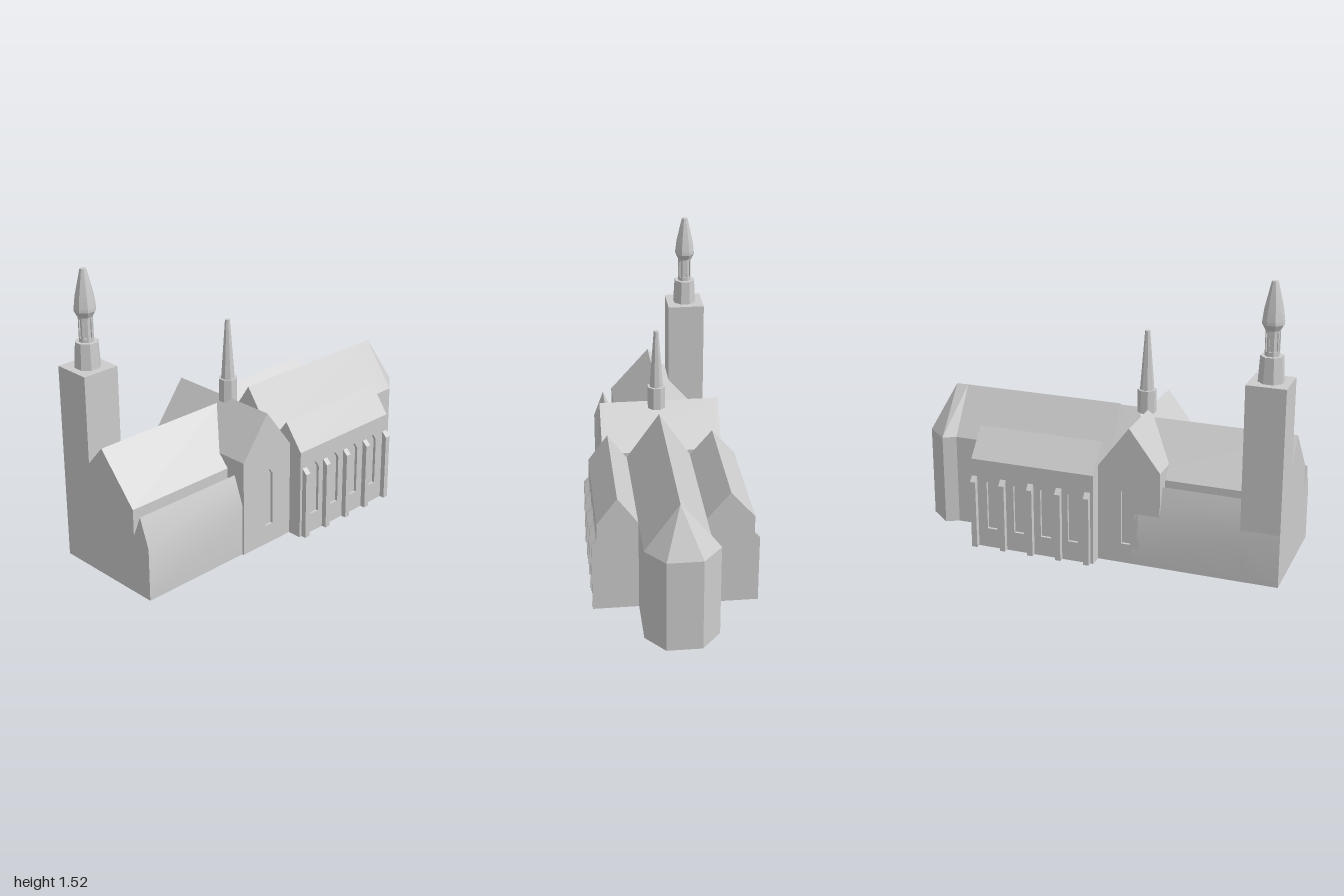
import * as THREE from 'three';
import { toCreasedNormals } from 'three/addons/utils/BufferGeometryUtils.js';
import { ConvexGeometry } from 'three/addons/geometries/ConvexGeometry.js';

const stone = new THREE.MeshStandardMaterial({ color: 0xcccccc });
stone.name = 'paleStone';

function addMesh(parent, name, geometry) {
  const mesh = new THREE.Mesh(geometry, stone);
  mesh.name = name;
  parent.add(mesh);
  return mesh;
}

const toPath = (Type, pts) => new Type(pts.map(([x, y]) => new THREE.Vector2(x, y)));

// Outline of a lancet opening, pointed at the top
const lancet = (cx, w, y0, y1, tip = w * 0.6) => [
  [cx - w / 2, y0], [cx + w / 2, y0], [cx + w / 2, y1 - tip],
  [cx + w * 0.12, y1 - tip * 0.15], [cx, y1], [cx - w * 0.12, y1 - tip * 0.15], [cx - w / 2, y1 - tip],
];

// Prism along z from an (x, y) outline, with optional openings
function prismZ(pts, z0, z1, holes = []) {
  const shape = toPath(THREE.Shape, pts);
  shape.holes = holes.map((h) => toPath(THREE.Path, h));
  return new THREE.ExtrudeGeometry(shape, { depth: z1 - z0, bevelEnabled: false }).translate(0, 0, z0);
}

// Prism along x from a (z, y) outline
function prismX(pts, x0, x1, holes = []) {
  const flip = (list) => list.map(([z, y]) => [-z, y]);
  return prismZ(flip(pts), x0, x1, holes.map(flip)).rotateY(Math.PI / 2);
}

const rect = (a0, b0, a1, b1) => [[a0, b0], [a1, b0], [a1, b1], [a0, b1]];

// Faceted eight-sided turning; radii are measured to the flat sides
function octagon(profile) {
  const pts = profile.map(([r, y]) => new THREE.Vector2(r / Math.cos(Math.PI / 8), y));
  return toCreasedNormals(new THREE.LatheGeometry(pts, 8, Math.PI / 8), 0.1);
}

function buildNave(church) {
  // Central gable with a small ridged aisle on either side
  const section = [
    [-0.32, 0], [0.305, 0], [0.305, 0.28], [0.25, 0.43], [0.2, 0.31], [0.2, 0.45],
    [-0.018, 0.695], [-0.237, 0.45], [-0.237, 0.31], [-0.28, 0.43], [-0.32, 0.28],
  ];
  addMesh(church, 'nave', toCreasedNormals(prismX(section, -1, -0.24), 0.45));
}

function buildTransept(church) {
  const gable = [[-0.385, 0], [-0.055, 0], [-0.055, 0.515], [-0.22, 0.735], [-0.385, 0.515]];
  const opening = [lancet(-0.205, 0.05, 0.105, 0.42)];
  addMesh(church, 'transept', prismZ(gable, -0.305, 0.3));
  addMesh(church, 'transeptFrontGable', prismZ(gable, 0.3, 0.315, opening));
  addMesh(church, 'transeptBackGable', prismZ(gable, -0.32, -0.305, opening));
}

function buildChoir(church) {
  const section = [[-0.15, 0], [0.185, 0], [0.185, 0.49], [0.013, 0.735], [-0.15, 0.49]];
  addMesh(church, 'choir', prismX(section, -0.055, 0.83));
  // Polygonal apse with a faceted roof
  const plan = [[0.82, -0.15], [0.885, -0.185], [1, -0.087], [1, 0.09], [0.885, 0.185], [0.82, 0.185]];
  const points = plan.flatMap(([x, z]) => [new THREE.Vector3(x, 0, z), new THREE.Vector3(x, 0.49, z)]);
  points.push(new THREE.Vector3(0.82, 0.735, 0.013), new THREE.Vector3(0.885, 0.735, 0.013));
  addMesh(church, 'apse', new ConvexGeometry(points));
}

function buildChapel(church, name, side, inner, ridge) {
  const chapel = new THREE.Group();
  chapel.name = name;
  church.add(chapel);
  const x0 = -0.055, x1 = 0.615, outer = 0.39, skin = 0.015;
  const section = [
    [inner, 0], [outer - skin, 0], [outer - skin, 0.485], [outer, 0.485], [ridge, 0.625], [inner, 0.485],
  ].map(([z, y]) => [side * z, y]);
  addMesh(chapel, 'chapelBody', prismX(section, x0, x1));
  // Outer wall pierced by a row of lancets
  const windows = [0.055, 0.205, 0.355, 0.505].map((x) => lancet(x, 0.055, 0.105, 0.4, 0.037));
  const z = side > 0 ? outer - skin : -outer;
  addMesh(chapel, 'windowWall', prismZ(rect(x0, 0, x1, 0.485), z, z + skin, windows));
  // Buttresses with sloping caps
  const buttress = [[0.385, 0], [0.417, 0], [0.417, 0.365], [0.385, 0.397]].map(([a, y]) => [side * a, y]);
  for (const x of [-0.025, 0.13, 0.285, 0.44, 0.6]) {
    addMesh(chapel, 'buttress', prismX(buttress, x - 0.015, x + 0.015));
  }
}

function buildTower(church) {
  const tower = new THREE.Group();
  tower.name = 'bellTower';
  church.add(tower);
  const face = rect(-0.32, 0, -0.12, 1.03);
  addMesh(tower, 'towerShaft', prismX(face, -0.985, -0.8));
  addMesh(tower, 'towerWestWall', prismX(face, -1, -0.985, [
    lancet(-0.22, 0.045, 0.012, 0.16), lancet(-0.22, 0.045, 0.58, 0.91),
  ]));

  // Octagonal lantern and bulbous spire
  const spire = new THREE.Group();
  spire.name = 'towerSpire';
  spire.position.set(-0.9, 0, -0.22);
  tower.add(spire);
  addMesh(spire, 'spireBase', octagon([[0, 1.03], [0.06, 1.03], [0.053, 1.16], [0, 1.16]]));
  addMesh(spire, 'lanternCore', octagon([[0.026, 1.16], [0.026, 1.3]]));
  const a = 0.034, half = a * Math.tan(Math.PI / 8);
  for (let i = 0; i < 8; i++) {
    const panel = prismZ(rect(-half, 1.16, half, 1.3), a - 0.007, a, [lancet(0, 0.015, 1.18, 1.28)]);
    addMesh(spire, 'lanternPanel', panel.rotateY((i * Math.PI) / 4));
  }
  addMesh(spire, 'spireHead', octagon([
    [0, 1.285], [0.035, 1.285], [0.05, 1.315], [0.05, 1.33], [0.043, 1.39], [0.015, 1.52], [0, 1.52],
  ]));
}

function buildFleche(church) {
  // Slim spire over the crossing
  const fleche = new THREE.Group();
  fleche.name = 'crossingSpire';
  fleche.position.set(-0.2, 0, 0.013);
  church.add(fleche);
  addMesh(fleche, 'crossingSpireBase', octagon([[0, 0.71], [0.045, 0.71], [0.045, 0.832], [0, 0.832]]));
  addMesh(fleche, 'crossingSpireNeedle', octagon([
    [0.034, 0.832], [0.028, 0.92], [0.012, 1.145], [0, 1.145],
  ]));
}

export function createModel() {
  const church = new THREE.Group();
  church.name = 'church';
  buildNave(church);
  buildTransept(church);
  buildChoir(church);
  buildChapel(church, 'frontChapel', 1, 0.185, 0.287);
  buildChapel(church, 'backChapel', -1, 0.15, 0.268);
  buildTower(church);
  buildFleche(church);
  return church;
}
